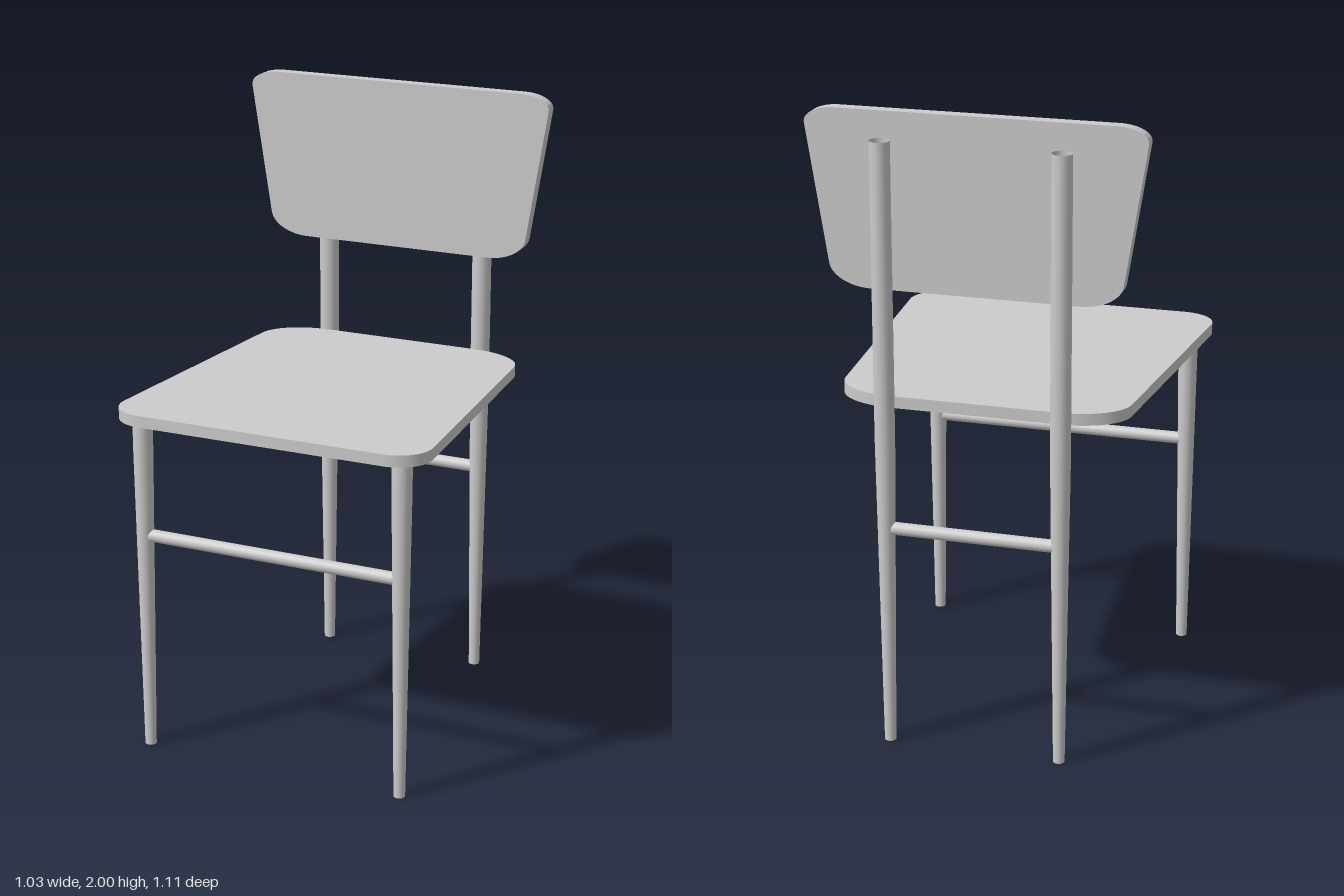
import * as THREE from 'three';
import { toCreasedNormals } from 'three/addons/utils/BufferGeometryUtils.js';

const material = new THREE.MeshStandardMaterial({ color: 0xcccccc });
const tubeMaterial = new THREE.MeshStandardMaterial({ color: 0xcccccc, side: THREE.DoubleSide });

function addMesh(group, name, geometry, mat = material) {
  const mesh = new THREE.Mesh(geometry, mat);
  mesh.name = name;
  group.add(mesh);
  return mesh;
}

// Flat board with a symmetric tapered outline and curved corners.
// low / high: [edge, flat half width, side half width, side start]
function board(low, high, depth) {
  const [y0, flat0, side0, start0] = low;
  const [y1, flat1, side1, start1] = high;
  const slope = (side1 - side0) / (start1 - start0);
  const corner0 = side0 + slope * (y0 - start0);
  const corner1 = side1 + slope * (y1 - start1);
  const k = 0.56; // circular-style handle length
  const mix = (a, b) => a + (b - a) * k;
  const s = new THREE.Shape();
  s.moveTo(-flat0, y0);
  s.lineTo(flat0, y0);
  s.bezierCurveTo(mix(flat0, corner0), y0, mix(side0, corner0), mix(start0, y0), side0, start0);
  s.lineTo(side1, start1);
  s.bezierCurveTo(mix(side1, corner1), mix(start1, y1), mix(flat1, corner1), y1, flat1, y1);
  s.lineTo(-flat1, y1);
  s.bezierCurveTo(-mix(flat1, corner1), y1, -mix(side1, corner1), mix(start1, y1), -side1, start1);
  s.lineTo(-side0, start0);
  s.bezierCurveTo(-mix(side0, corner0), mix(start0, y0), -mix(flat0, corner0), y0, -flat0, y0);
  const geometry = new THREE.ExtrudeGeometry(s, { depth, bevelEnabled: false, curveSegments: 14 });
  return toCreasedNormals(geometry, 0.6);
}

// Hollow round leg, tapering below the seat
function leg(height) {
  const profile = [[0.018, 0], [0.031, 1.0], [0.031, height]];
  return new THREE.LatheGeometry(profile.map(([r, y]) => new THREE.Vector2(r, y)), 28);
}

export function createModel() {
  const chair = new THREE.Group();
  chair.name = 'chair';

  // Seat: outline drawn with y as -z, then laid flat
  const seat = board([-0.557, 0.4, 0.515, -0.445], [0.5, 0.26, 0.45, 0.375], 0.037);
  seat.rotateX(-Math.PI / 2);
  addMesh(chair, 'seat', seat).position.y = 1.094;

  // Backrest
  const back = board([1.46, 0.32, 0.449, 1.53], [2, 0.42, 0.516, 1.95], 0.041);
  addMesh(chair, 'backrest', back).position.z = -0.491;

  // Legs in mirrored pairs, each pair joined by a rung
  const pairs = [
    { name: 'front', x: 0.433, z: 0.48, height: 1.095 },
    { name: 'back', x: 0.273, z: -0.525, height: 1.92 },
  ];
  for (const { name, x, z, height } of pairs) {
    for (const side of [-1, 1]) {
      const label = name + (side > 0 ? 'LeftLeg' : 'RightLeg');
      addMesh(chair, label, leg(height), tubeMaterial).position.set(side * x, 0, z);
    }
    const rung = new THREE.CylinderGeometry(0.02, 0.02, 2 * x - 0.03, 24, 1, true);
    rung.rotateZ(Math.PI / 2);
    addMesh(chair, name + 'Rung', rung, tubeMaterial).position.set(0, 0.715, z);
  }

  return chair;
}
